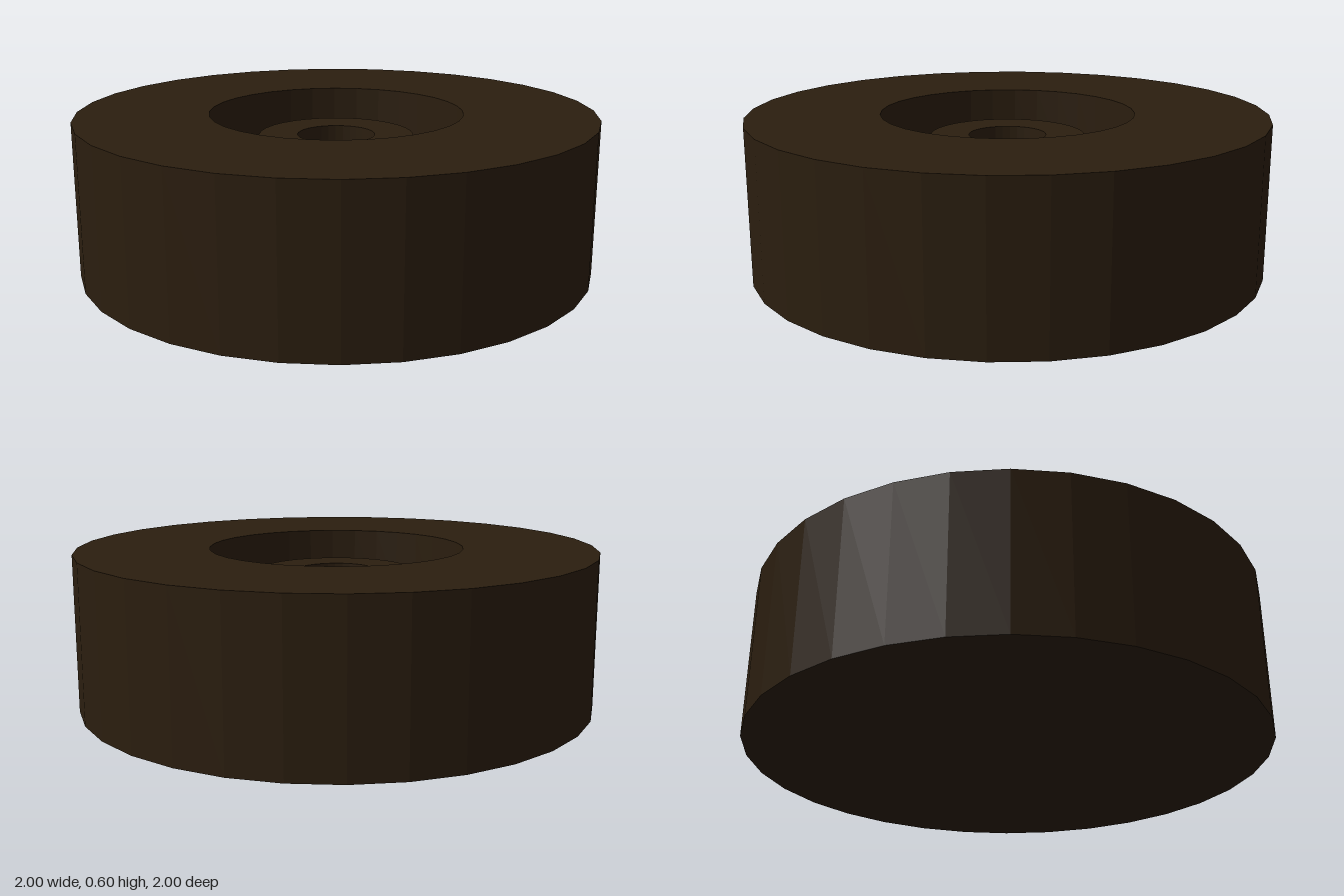
import * as THREE from 'three';

const SIDES = 32;
const material = new THREE.MeshStandardMaterial({ color: 0x2b1e0f, flatShading: true });

// Revolves a [radius, height] profile, listed bottom to top along the outside.
function turned(name, profile) {
  const points = profile.map(([r, y]) => new THREE.Vector2(r, y));
  const mesh = new THREE.Mesh(new THREE.LatheGeometry(points, SIDES), material);
  mesh.name = name;
  return mesh;
}

export function createModel() {
  const group = new THREE.Group();
  group.name = 'wheel';

  const top = 0.6, floor = 0.35, hubTop = 0.51;

  // Solid disc with a round well sunk into the top
  group.add(turned('tyre', [[0, 0], [1, 0], [1, top], [0.49, top], [0.49, floor], [0, floor]]));

  // Raised ring standing in the well, with a round axle hole
  group.add(turned('hub', [[0.3, floor], [0.3, hubTop], [0.15, hubTop], [0.15, floor]]));

  return group;
}
